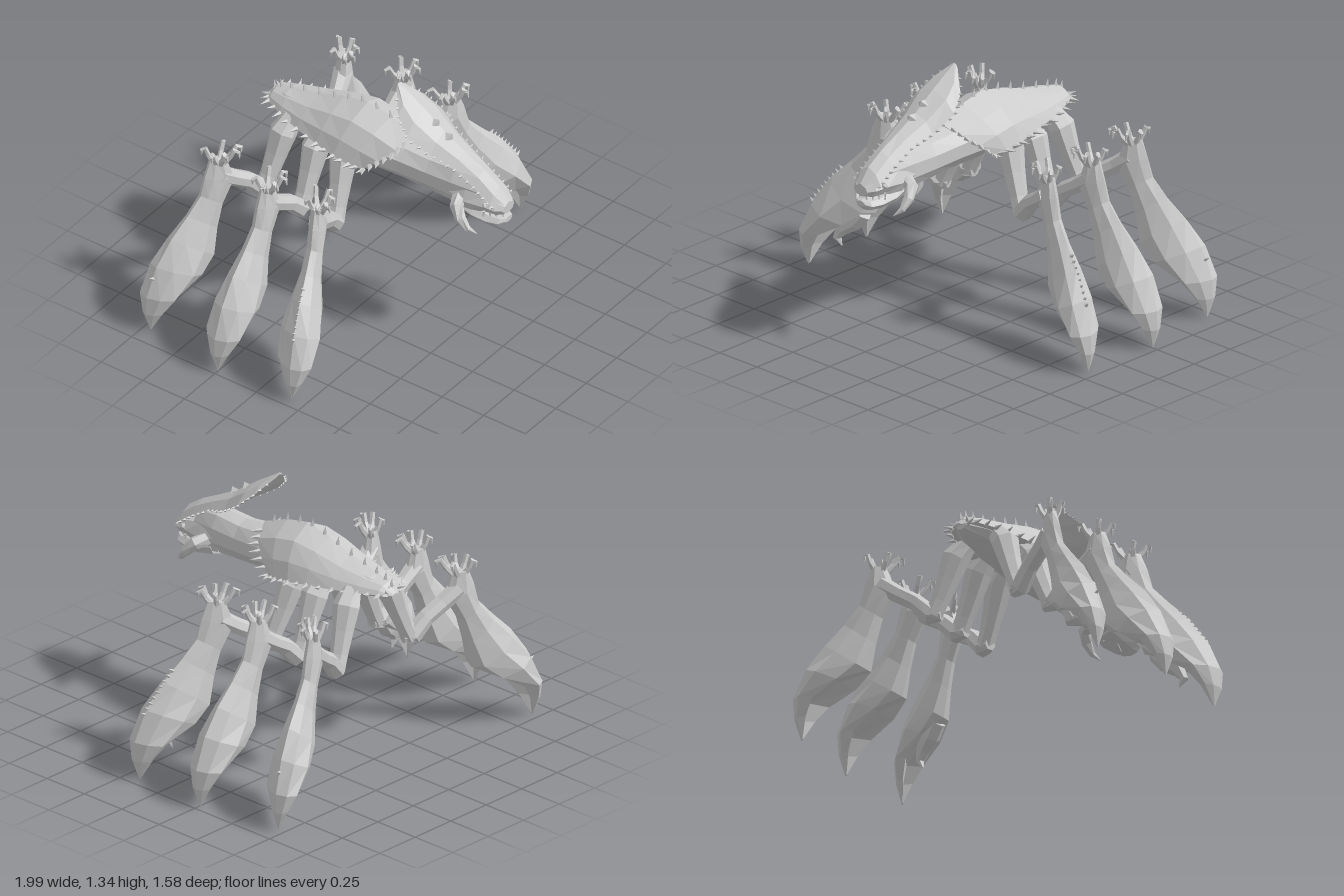
import * as THREE from 'three';

const V = (x, y, z) => new THREE.Vector3(x, y, z);
const material = new THREE.MeshStandardMaterial({ color: 0xcccccc, flatShading: true });

function addMesh(parent, name, geometry) {
  const mesh = new THREE.Mesh(geometry, material);
  mesh.name = name;
  parent.add(mesh);
  return mesh;
}

// Closed skin over a row of equal-sized rings, turned so that it faces outward
function loft(rings) {
  const n = rings[0].length, tris = [];
  for (let i = 0; i < rings.length - 1; i++) {
    for (let j = 0; j < n; j++) {
      const k = (j + 1) % n, a = rings[i], b = rings[i + 1];
      tris.push([a[j], a[k], b[k]], [a[j], b[k], b[j]]);
    }
  }
  const centre = (ring) => ring.reduce((s, p) => s.add(p), V(0, 0, 0)).divideScalar(n);
  const first = rings[0], last = rings[rings.length - 1], c0 = centre(first), c1 = centre(last);
  for (let j = 0; j < n; j++) {
    const k = (j + 1) % n;
    tris.push([c0, first[k], first[j]], [c1, last[j], last[k]]);
  }
  let volume = 0;
  for (const [a, b, c] of tris) volume += a.dot(b.clone().cross(c));
  const points = tris.flatMap(([a, b, c]) => (volume > 0 ? [a, b, c] : [a, c, b]));
  const geometry = new THREE.BufferGeometry().setFromPoints(points);
  geometry.computeVertexNormals();
  return geometry;
}

// Oval rings along z: [z, centre y, half width, half height]
function ovalLoft(stations, sides) {
  return loft(stations.map(([z, y, rx, ry]) => Array.from({ length: sides }, (_, i) => {
    const a = (i / sides) * Math.PI * 2;
    return V(Math.sin(a) * rx, y + Math.cos(a) * ry, z);
  })));
}

// Tapering limb along a few points, one radius per point
function limb(points, radii, sides = 6) {
  return loft(points.map((p, i) => {
    const dir = points[Math.min(i + 1, points.length - 1)].clone().sub(points[Math.max(i - 1, 0)]).normalize();
    const ref = Math.abs(dir.z) > 0.8 ? V(0, 1, 0) : V(0, 0, 1);
    const u = ref.cross(dir).normalize(), v = dir.clone().cross(u);
    return Array.from({ length: sides }, (_, j) => {
      const a = (j / sides) * Math.PI * 2;
      return p.clone().addScaledVector(u, Math.cos(a) * radii[i]).addScaledVector(v, Math.sin(a) * radii[i]);
    });
  }));
}

function spike(parent, name, base, dir, length, radius) {
  const mesh = addMesh(parent, name, new THREE.ConeGeometry(radius, length, 4));
  dir = dir.clone().normalize();
  mesh.quaternion.setFromUnitVectors(V(0, 1, 0), dir);
  mesh.position.copy(base).addScaledVector(dir, length * 0.4);
}

// Point at fraction t along a list of points
function along(points, t) {
  const f = t * (points.length - 1), i = Math.min(Math.floor(f), points.length - 2);
  return points[i].clone().lerp(points[i + 1], f - i);
}

function buildBody(root) {
  const body = new THREE.Group();
  body.name = 'body';
  root.add(body);
  addMesh(body, 'trunkAndNeck', ovalLoft([
    [0.64, 0.9, 0.07, 0.1], [0.5, 0.905, 0.095, 0.12], [0.35, 0.905, 0.1, 0.11], [0.2, 0.92, 0.12, 0.11],
    [0.05, 0.94, 0.155, 0.12], [-0.15, 0.945, 0.16, 0.1], [-0.35, 0.95, 0.13, 0.085], [-0.52, 0.95, 0.09, 0.06],
    [-0.62, 0.945, 0.03, 0.03]], 10));

  // Shell: [ridge z, ridge y, rim z, rim y, half width]
  const shell = [
    [0.23, 1.04, 0.04, 0.87, 0.18], [0.08, 1.1, -0.03, 0.885, 0.205], [-0.06, 1.13, -0.12, 0.9, 0.21],
    [-0.2, 1.1, -0.23, 0.915, 0.195], [-0.35, 1.05, -0.37, 0.925, 0.165], [-0.5, 1.015, -0.5, 0.935, 0.125],
    [-0.6, 0.99, -0.6, 0.94, 0.08], [-0.645, 0.94, -0.645, 0.93, 0.02]];
  addMesh(body, 'shell', loft(shell.map(([z, y, rz, ry, w]) => {
    const at = (fx, f) => V(fx * w, THREE.MathUtils.lerp(y, ry, f), THREE.MathUtils.lerp(z, rz, f));
    return [at(0, 0), at(0.55, 0.25), at(0.85, 0.62), at(1, 1), at(0.8, 1.05),
      at(0, 0.8), at(-0.8, 1.05), at(-1, 1), at(-0.85, 0.62), at(-0.55, 0.25)];
  })));
  const ridge = shell.map(([z, y]) => V(0, y, z));
  for (let i = 0; i < 11; i++) spike(body, 'backSpike', along(ridge, 0.06 + i * 0.085), V(0, 1, -0.15), 0.045, 0.013);
  for (const s of [1, -1]) {
    const rim = shell.map(([, , z, y, w]) => V(s * w, y, z));
    for (let i = 0; i < 14; i++) {
      spike(body, 'rimSpike', along(rim, i / 14), V(s, i % 2 ? 0.35 : 0, -0.3), 0.055, 0.013);
    }
    // Collar along the slanted front edge of the shell
    const collar = [V(s * 0.06, 1.02, 0.2), V(s * 0.12, 0.98, 0.17), V(s * 0.16, 0.93, 0.11), V(s * 0.18, 0.87, 0.04)];
    for (let i = 0; i < 7; i++) spike(body, 'collarSpike', along(collar, i / 6), V(s, 0.1, 0.5), 0.06, 0.014);
    spike(body, 'tailSpike', V(s * 0.04, 0.95, -0.62), V(s * 0.6, 0.2, -1), 0.05, 0.012);
  }
}

function buildHead(root) {
  const head = new THREE.Group();
  head.name = 'head';
  root.add(head);
  addMesh(head, 'skull', ovalLoft([
    [0.48, 0.89, 0.09, 0.11], [0.58, 0.87, 0.1, 0.1], [0.68, 0.875, 0.088, 0.06],
    [0.75, 0.87, 0.075, 0.05], [0.785, 0.865, 0.045, 0.03]], 8));
  addMesh(head, 'lowerJaw', ovalLoft([
    [0.52, 0.83, 0.08, 0.06], [0.62, 0.8, 0.088, 0.05], [0.7, 0.785, 0.075, 0.035],
    [0.76, 0.785, 0.058, 0.03], [0.785, 0.795, 0.03, 0.015]], 8));

  // Swept-back crest: [z, ridge y, edge y, half width]
  const crest = [
    [0.13, 1.335, 1.315, 0.022], [0.2, 1.29, 1.225, 0.11], [0.28, 1.24, 1.15, 0.145], [0.4, 1.155, 1.075, 0.115],
    [0.52, 1.09, 1.03, 0.088], [0.64, 1.03, 0.96, 0.08], [0.73, 0.97, 0.895, 0.082], [0.785, 0.9, 0.86, 0.045]];
  addMesh(head, 'crest', loft(crest.map(([z, y, e, w]) => [
    V(0, y, z), V(w * 0.6, y * 0.65 + e * 0.35, z), V(w, e, z), V(w * 0.5, e + 0.005, z),
    V(0, e + 0.01, z), V(-w * 0.5, e + 0.005, z), V(-w, e, z), V(-w * 0.6, y * 0.65 + e * 0.35, z)])));
  for (const z of [0.35, 0.43]) spike(head, 'crestBump', V(0, z < 0.4 ? 1.185 : 1.135, z), V(0, 1, 0.8), 0.03, 0.03);

  for (const s of [1, -1]) {
    const edge = crest.map(([z, , e, w]) => V(s * w, e, z));
    for (let i = 0; i < 20; i++) spike(head, 'crestSpike', along(edge, 0.06 + i * 0.043), V(s, 0.2, -0.1), 0.024, 0.008);
    addMesh(head, 'tusk', limb([V(s * 0.07, 0.87, 0.54), V(s * 0.135, 0.855, 0.57), V(s * 0.155, 0.81, 0.61),
      V(s * 0.15, 0.765, 0.65), V(s * 0.125, 0.735, 0.685)], [0.035, 0.034, 0.027, 0.017, 0.002]));
    addMesh(head, 'eye', new THREE.IcosahedronGeometry(0.016, 0)).position.set(s * 0.08, 0.885, 0.7);
    for (let i = 0; i < 4; i++) {
      const x = s * (0.075 - i * 0.018), z = 0.69 + i * 0.026;
      spike(head, 'upperTooth', V(x, 0.84, z), V(0, -1, 0), 0.035, 0.008);
      spike(head, 'lowerTooth', V(x * 0.85, 0.805, z - 0.01), V(0, 1, 0), 0.03, 0.007);
    }
  }
  addMesh(head, 'chinHook', limb([V(0, 0.8, 0.58), V(0, 0.765, 0.64), V(0, 0.745, 0.68)], [0.05, 0.03, 0.004], 5));
}

// One leg; place() slants its upright plane fore or aft
function buildLeg(root, side, { name, z0, slant, reach, front }) {
  const leg = new THREE.Group();
  leg.name = name + (side > 0 ? 'LegLeft' : 'LegRight');
  root.add(leg);
  const place = (x, y, t = 0) => V(side * x * reach, y, z0 + slant * x * reach + t);

  addMesh(leg, 'thigh', limb([place(0.1, 0.93), place(0.16, 0.86), place(0.2, 0.75), place(0.245, 0.64), place(0.28, 0.565)],
    [0.05, 0.07, 0.056, 0.046, 0.045], 7));
  addMesh(leg, 'shin', limb([place(0.235, 0.57), place(0.29, 0.575), place(0.37, 0.655), place(0.46, 0.71), place(0.55, 0.77)],
    [0.03, 0.05, 0.043, 0.043, 0.05], 7));

  // Clubbed lower leg: [outer x, outer y, inner x, inner y, half width, inner depth]
  const club = [
    [0.6, 0.87, 0.52, 0.86, 0.035, 1], [0.635, 0.78, 0.475, 0.73, 0.05, 1], [0.66, 0.68, 0.55, 0.6, 0.048, 1],
    [0.74, 0.59, 0.585, 0.47, 0.058, 1], [0.84, 0.49, 0.62, 0.33, 0.09, 1], [0.93, 0.36, 0.71, 0.26, 0.115, 0.75],
    [0.99, 0.2, 0.85, 0.19, 0.1, 0.45], [0.992, 0.1, 0.91, 0.11, 0.055, 0.45], [0.965, 0, 0.955, 0.01, 0.004, 0.8]];
  addMesh(leg, 'club', loft(club.map(([ox, oy, ix, iy, w, depth]) => {
    const at = (f, t) => place(ox + (ix - ox) * f, oy + (iy - oy) * f, t * w);
    return [at(0, 0), at(0.15, 0.6), at(0.5, 1), at(0.9, 0.7), at(depth, 0), at(0.9, -0.7), at(0.5, -1), at(0.15, -0.6)];
  })));

  // Curled fingers around the wrist
  for (const [dx, dz] of [[-0.07, 0.035], [-0.035, 0.06], [0.02, 0.06], [0.055, 0.025], [-0.06, -0.035], [0.035, -0.04]]) {
    addMesh(leg, 'finger', limb([place(0.555 + dx * 0.3, 0.84, dz * 0.3), place(0.555 + dx * 0.8, 0.885, dz * 0.8),
      place(0.555 + dx * 1.1, 0.925, dz), place(0.555 + dx * 1.35, 0.915, dz * 1.3), place(0.555 + dx * 1.3, 0.885, dz * 1.4)],
    [0.018, 0.013, 0.013, 0.01, 0.003], 5));
  }

  if (front) {
    // Thumb claw and the row of studs down the outer ridge
    addMesh(leg, 'thumbClaw', limb([place(0.68, 0.33), place(0.73, 0.27), place(0.79, 0.22), place(0.815, 0.17), place(0.79, 0.13)],
      [0.05, 0.05, 0.036, 0.022, 0.003]));
    for (let i = 0; i < 9; i++) {
      const f = i / 8;
      spike(leg, 'clubSpike', place(0.79 + 0.15 * f, 0.54 - 0.2 * f), V(side, 0.8, 0.2), 0.028, 0.011);
    }
  } else if (name === 'rear') {
    spike(leg, 'clubSpike', place(0.95, 0.3), V(side, 0.6, -0.2), 0.03, 0.012);
  }
}

export function createModel() {
  const root = new THREE.Group();
  root.name = 'sixLeggedCreature';
  buildBody(root);
  buildHead(root);
  const legs = [
    { name: 'front', z0: -0.15, slant: 0.34, reach: 0.98, front: true },
    { name: 'middle', z0: -0.26, slant: 0.005, reach: 1.005 },
    { name: 'rear', z0: -0.41, slant: -0.335, reach: 0.93 }];
  for (const leg of legs) for (const side of [1, -1]) buildLeg(root, side, leg);
  return root;
}
